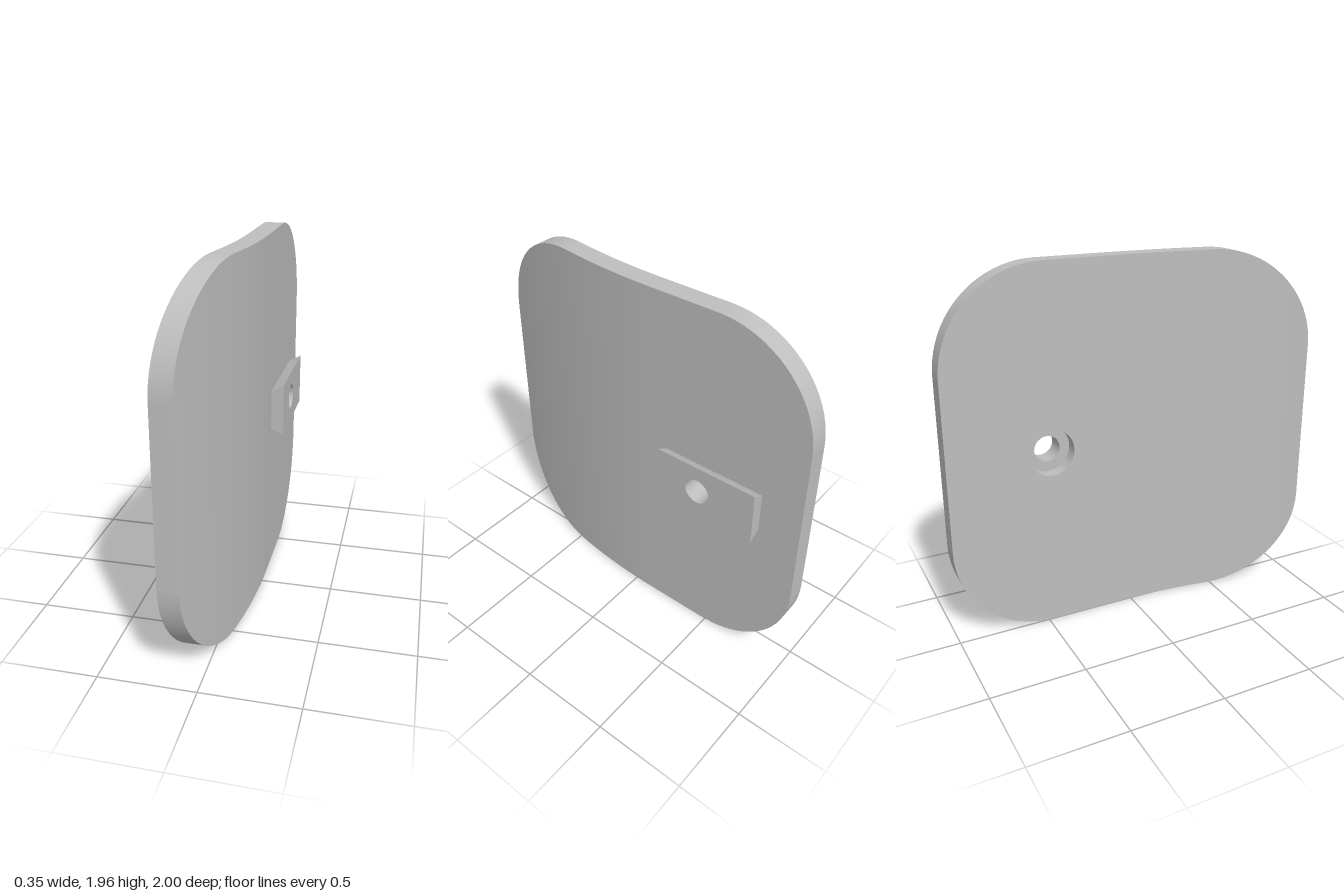
import * as THREE from 'three';

// Local frame: u = -z, v = height, d = depth towards +x (group is turned at the end)
const T = 0.107, TOP = 0.175, MID = 0.9775, CORNER = 0.53, FLAT_U = 0.1;
const HOLE = { u: 0.45, r: 0.07, counterR: 0.125, counterDepth: 0.07 };

// Gentle circular bend of the front half towards -x
function bend(u) {
  const R = 3.49, s = Math.max(0, FLAT_U - u);
  return Math.sqrt(R * R - s * s) - R;
}

// Half height of the rounded square at u
function halfHeight(u) {
  const k = Math.max(0, Math.abs(u) - (1 - CORNER));
  return MID - CORNER + Math.sqrt(Math.max(0, CORNER * CORNER - k * k));
}

// Quad strip between two point lists
function strip(a, b) {
  const n = a.length, index = [];
  for (let i = 0; i < n - 1; i++) index.push(i, i + 1, n + i, i + 1, n + i + 1, n + i);
  const g = new THREE.BufferGeometry().setFromPoints([...a, ...b]);
  g.setIndex(index);
  g.computeVertexNormals();
  return g;
}

function circle(r, d) {
  return Array.from({ length: 49 }, (_, i) => {
    const t = (i / 48) * Math.PI * 2;
    return new THREE.Vector3(HOLE.u + r * Math.cos(t), MID + r * Math.sin(t), d);
  });
}

function faceWithHole(points, r) {
  const s = new THREE.Shape(points);
  s.holes.push(new THREE.Path().absarc(HOLE.u, MID, r, 0, Math.PI * 2, true));
  return new THREE.ShapeGeometry(s, 24);
}

export function createModel() {
  const grey = new THREE.MeshStandardMaterial({ color: 0xbebebe, side: THREE.DoubleSide });
  grey.name = 'grey';
  const body = new THREE.Group();
  body.name = 'curvedPlate';
  const add = (name, geo, d = 0) => {
    const m = new THREE.Mesh(geo, grey);
    m.name = name;
    m.position.z = d;
    body.add(m);
    return m;
  };

  // Columns across the plate, dense in the rounded corners
  const cols = [], N = 20, edge = 1 - CORNER;
  for (let i = 0; i <= N; i++) cols.push(-edge - CORNER * Math.cos((i / N) * Math.PI / 2));
  for (let i = 1; i <= 12; i++) cols.push(-edge + (FLAT_U + edge) * i / 12);
  for (let i = 0; i <= N; i++) cols.push(edge + CORNER * Math.sin((i / N) * Math.PI / 2));
  const row = (us, sign, d) =>
    us.map(u => new THREE.Vector3(u, MID + sign * halfHeight(u), d + bend(u)));
  const loop = (us, d) => [...row(us, -1, d), ...row(us, 1, d).reverse()];

  // Rim
  const closed = d => { const p = loop(cols, d); return [...p, p[0]]; };
  add('plateRim', strip(closed(0), closed(T)));

  // Bent faces
  const bent = cols.filter(u => u <= FLAT_U + 1e-6);
  const flat = [FLAT_U, ...cols.filter(u => u > FLAT_U + 1e-6)];
  add('bentOuterFace', strip(row(bent, -1, T), row(bent, 1, T)));
  add('bentInnerFace', strip(row(bent, 1, 0), row(bent, -1, 0)));

  // Flat faces with the screw hole
  const flatLoop = loop(flat, 0).map(p => new THREE.Vector2(p.x, p.y));
  add('flatOuterFace', faceWithHole(flatLoop, HOLE.r), T);
  const inner = faceWithHole(flatLoop, HOLE.counterR);
  inner.setIndex(Array.from(inner.index.array).reverse());
  inner.computeVertexNormals();
  add('flatInnerFace', inner);

  // Counterbored screw hole
  add('counterbore', strip(circle(HOLE.counterR, HOLE.counterDepth), circle(HOLE.counterR, 0)));
  add('screwHole', strip(circle(HOLE.r, TOP), circle(HOLE.r, HOLE.counterDepth)));
  const seat = add('counterboreSeat',
    new THREE.RingGeometry(HOLE.r, HOLE.counterR, 48), HOLE.counterDepth);
  seat.position.set(HOLE.u, MID, HOLE.counterDepth);
  seat.rotation.y = Math.PI;

  // Dovetail block
  const rect = (h, d) => [[0.205, -h], [0.778, -h], [0.778, h], [0.205, h]]
    .map(([u, v]) => new THREE.Vector3(u, MID + v, d));
  const low = rect(0.11, T), high = rect(0.147, TOP);
  add('dovetailFace', faceWithHole(high.map(p => new THREE.Vector2(p.x, p.y)), HOLE.r), TOP);
  for (let i = 0; i < 4; i++) {
    const j = (i + 1) % 4;
    add('dovetailSide', strip([low[i], low[j]], [high[i], high[j]]));
  }

  body.rotation.y = Math.PI / 2;
  const model = new THREE.Group();
  model.name = 'mountingPlate';
  model.add(body);
  return model;
}
